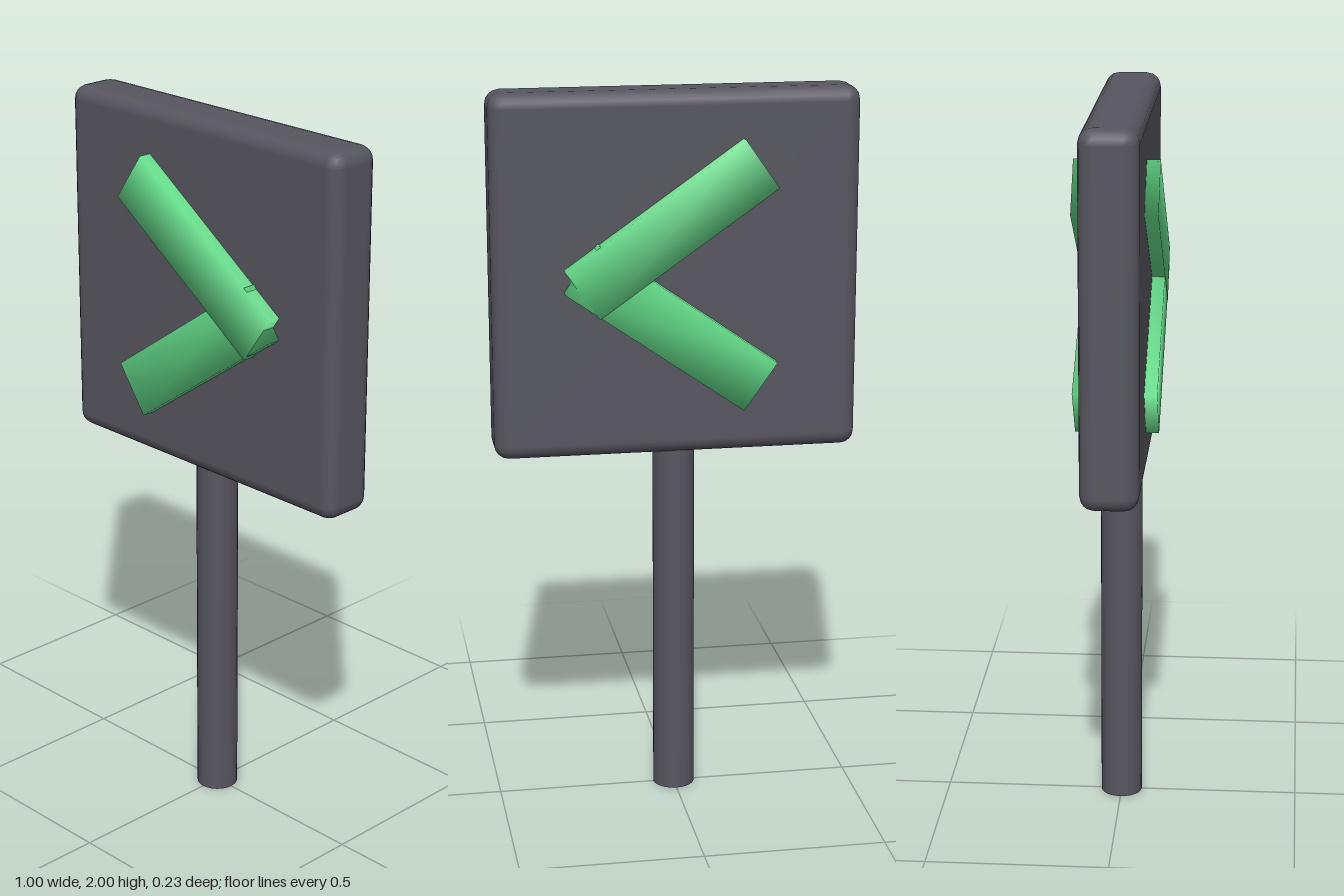
import * as THREE from 'three';
import { mergeVertices } from 'three/addons/utils/BufferGeometryUtils.js';
import { RoundedBoxGeometry } from 'three/addons/geometries/RoundedBoxGeometry.js';

// Box whose corners share one averaged normal, for soft shading
function softBox(w, h, d) {
  const box = new THREE.BoxGeometry(w, h, d);
  box.deleteAttribute('normal');
  box.deleteAttribute('uv');
  const merged = mergeVertices(box);
  merged.computeVertexNormals();
  return merged;
}

export function createModel() {
  const model = new THREE.Group();
  model.name = 'arrowSign';

  const grey = new THREE.MeshStandardMaterial({ color: 0x57565f });
  grey.name = 'dark grey';
  const green = new THREE.MeshStandardMaterial({ color: 0x62d987 });
  green.name = 'green';

  function add(name, geometry, material, x, y, z) {
    const mesh = new THREE.Mesh(geometry, material);
    mesh.name = name;
    mesh.position.set(x, y, z);
    model.add(mesh);
    return mesh;
  }

  // Round post, reaching just inside the board
  add('post', new THREE.CylinderGeometry(0.058, 0.058, 1.03, 24), grey, 0, 0.515, 0);

  // Square board with softened edges
  add('board', new RoundedBoxGeometry(1, 0.995, 0.156, 2, 0.04), grey, 0, 1.5025, 0);

  // Chevron bars pass through the board and show on both faces;
  // the upper bar stands a hair prouder where they cross
  for (const side of [1, -1]) {
    const depth = side > 0 ? 0.228 : 0.226;
    const bar = add(side > 0 ? 'upperArrowBar' : 'lowerArrowBar',
      softBox(0.592, 0.159, depth), green, 0.02, 1.5 + side * 0.135, 0);
    bar.rotation.z = -side * THREE.MathUtils.degToRad(35);
  }

  return model;
}
